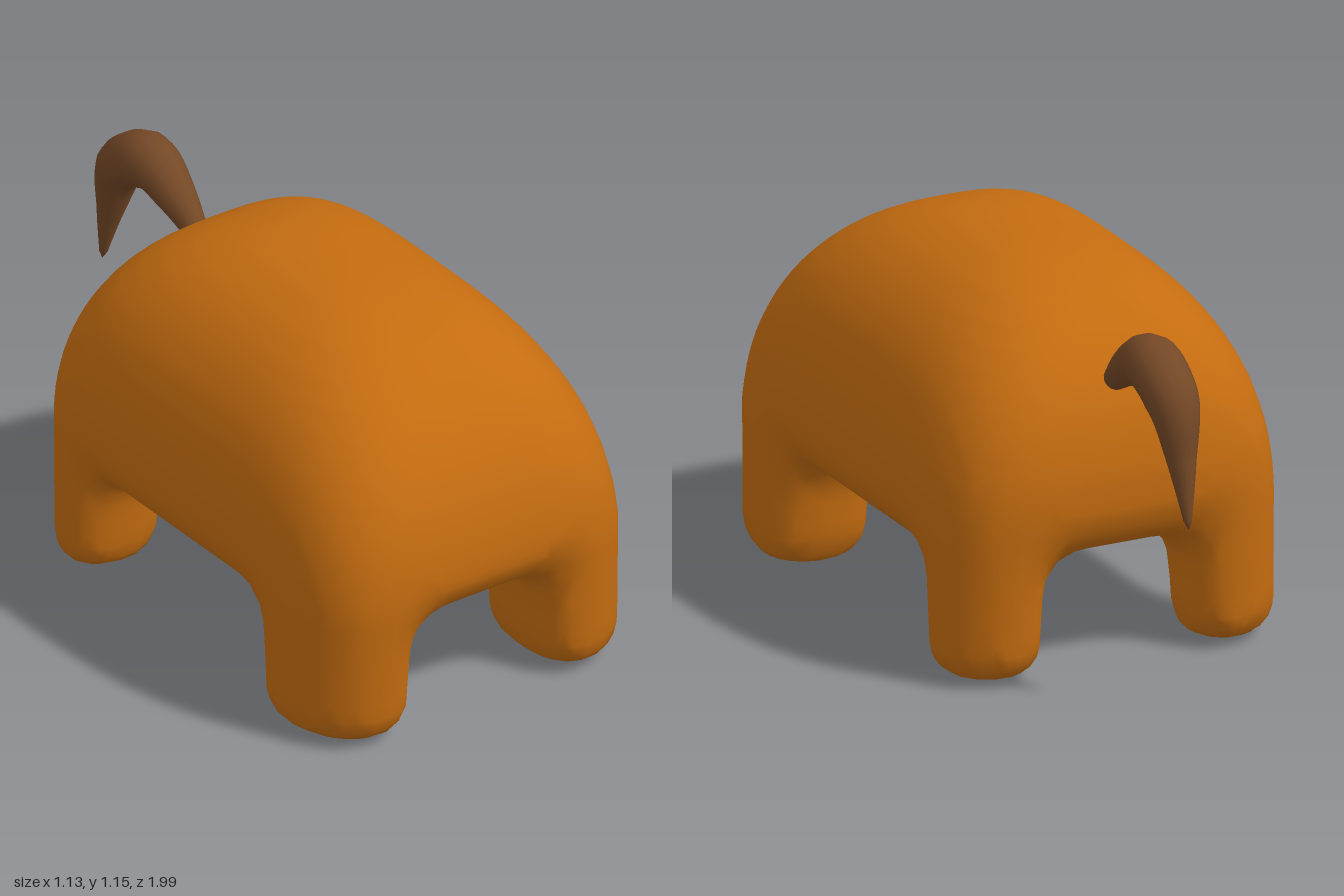
import * as THREE from 'three';
import { mergeVertices } from 'three/addons/utils/BufferGeometryUtils.js';

// Rounded union and intersection of two distances
const blend = (a, b, k) => Math.max(k - Math.abs(a - b), 0) ** 2 / (4 * k);
const softMin = (a, b, k) => Math.min(a, b) - blend(a, b, k);
const softMax = (a, b, k) => Math.max(a, b) + blend(a, b, k);

// Domed body hull with two crossing arches cut out, which leaves four legs (negative = inside)
function bodyField(x, y, z) {
  const t = Math.max(0, (y - 0.45) / 0.7);
  const n = 5.5 - 2.6 * Math.min(t, 1);
  const low = Math.max(0, 1 - y / 0.6);
  const X = (Math.abs(x) / (0.565 + 0.01 * low)) ** 0.93;
  const Z = (Math.abs(z - 0.195 + 0.045 * t) / (0.807 - 0.028 * low)) ** 1.1;
  const outline = (X ** n + Z ** n) ** (1 / n);
  const hull = 0.6 * ((outline ** 2.35 + t ** 2.35) ** (1 / 2.35) - 1);

  const archX = 0.24 - 0.04 * y - Math.abs(x);
  const archZ = 0.425 - 0.08 * y - Math.abs(z - 0.13);
  const legs = softMax(archX, archZ, 0.14);
  const underside = softMin(0.362 - y, legs, 0.13);
  return softMax(softMax(hull, underside, 0.16), -y, 0.11);
}

// Wraps a field in an even quad mesh: one vertex per crossed cell, pulled onto the surface
function skinField(field, min, size, step) {
  const [nx, ny, nz] = size;
  const stride = [1, nx, nx * ny];
  const at = (i, j, k) => [min[0] + i * step, min[1] + j * step, min[2] + k * step];
  const values = [];
  for (let k = 0; k < nz; k++)
    for (let j = 0; j < ny; j++)
      for (let i = 0; i < nx; i++) values.push(field(...at(i, j, k)));

  const positions = [], index = [], cellVertex = new Map();
  const e = 0.002;
  for (let k = 0; k < nz - 1; k++)
    for (let j = 0; j < ny - 1; j++)
      for (let i = 0; i < nx - 1; i++) {
        const cell = i + j * nx + k * nx * ny;
        const corner = c => values[cell + (c & 1) + ((c >> 1) & 1) * nx + (c >> 2) * nx * ny];
        const p = new THREE.Vector3();
        let hits = 0;
        for (let c = 0; c < 8; c++)
          for (const bit of [1, 2, 4]) {
            if (c & bit) continue;
            const a = corner(c), b = corner(c | bit);
            if ((a < 0) === (b < 0)) continue;
            const f = a / (a - b);
            p.x += (c & 1) + (bit === 1 ? f : 0);
            p.y += ((c >> 1) & 1) + (bit === 2 ? f : 0);
            p.z += (c >> 2) + (bit === 4 ? f : 0);
            hits++;
          }
        if (!hits) continue;
        p.multiplyScalar(step / hits).add(new THREE.Vector3(...at(i, j, k)));
        for (let s = 0; s < 4; s++) {
          const { x, y, z } = p;
          const g = new THREE.Vector3(
            field(x + e, y, z) - field(x - e, y, z),
            field(x, y + e, z) - field(x, y - e, z),
            field(x, y, z + e) - field(x, y, z - e)
          ).divideScalar(2 * e);
          const move = -field(x, y, z) / Math.max(g.lengthSq(), 0.1);
          p.addScaledVector(g, THREE.MathUtils.clamp(move, -step / 2, step / 2));
        }
        cellVertex.set(cell, positions.length / 3);
        positions.push(p.x, p.y, p.z);
      }

  // One quad around every grid edge that crosses the surface
  for (let k = 1; k < nz - 1; k++)
    for (let j = 1; j < ny - 1; j++)
      for (let i = 1; i < nx - 1; i++) {
        const node = i + j * nx + k * nx * ny;
        for (let a = 0; a < 3; a++) {
          const inside = values[node] < 0;
          if (inside === values[node + stride[a]] < 0) continue;
          const u = stride[(a + 1) % 3], v = stride[(a + 2) % 3];
          const q = [node, node - u, node - u - v, node - v].map(c => cellVertex.get(c));
          if (!inside) q.reverse();
          index.push(q[0], q[1], q[2], q[0], q[2], q[3]);
        }
      }

  const geometry = new THREE.BufferGeometry();
  geometry.setAttribute('position', new THREE.Float32BufferAttribute(positions, 3));
  geometry.setIndex(index);
  geometry.computeVertexNormals();
  return geometry;
}

// Curved tube whose rings swell in the middle and close at both ends
function tailGeometry() {
  const spine = new THREE.CatmullRomCurve3([
    [0.88, -0.505], [0.965, -0.62], [1.022, -0.75], [0.945, -0.892], [0.78, -0.948], [0.583, -0.992]
  ].map(([y, z]) => new THREE.Vector3(0.02, y, z)));
  const stops = [0, 0.03, 0.19, 0.37, 0.54, 0.76, 0.97, 1];
  const radii = [0, 0.036, 0.062, 0.088, 0.08, 0.043, 0.012, 0];
  const radiusAt = u => {
    let s = 0;
    while (s < stops.length - 2 && u > stops[s + 1]) s++;
    return THREE.MathUtils.mapLinear(u, stops[s], stops[s + 1], radii[s], radii[s + 1]);
  };
  const rings = 32, sides = 14;
  const tube = new THREE.TubeGeometry(spine, rings, 1, sides, false);
  const pos = tube.attributes.position;
  const v = new THREE.Vector3();
  for (let r = 0; r <= rings; r++) {
    const centre = spine.getPointAt(r / rings);
    for (let s = 0; s <= sides; s++) {
      const n = r * (sides + 1) + s;
      v.fromBufferAttribute(pos, n).sub(centre).multiplyScalar(radiusAt(r / rings)).add(centre);
      pos.setXYZ(n, v.x, v.y, v.z);
    }
  }
  tube.deleteAttribute('uv');
  tube.deleteAttribute('normal');
  const geometry = mergeVertices(tube, 1e-4);
  geometry.computeVertexNormals();
  return geometry;
}

export function createModel() {
  const model = new THREE.Group();
  const add = (name, geometry, color) => {
    const mesh = new THREE.Mesh(geometry, new THREE.MeshStandardMaterial({ color }));
    mesh.name = name;
    model.add(mesh);
  };
  // Body and four legs in one smooth skin
  add('bodyWithLegs', skinField(bodyField, [-0.675, -0.12, -0.76], [28, 29, 39], 0.05), 0xc46c10);
  // Arched tail, drooping to a point
  add('tail', tailGeometry(), 0x744826);
  return model;
}
